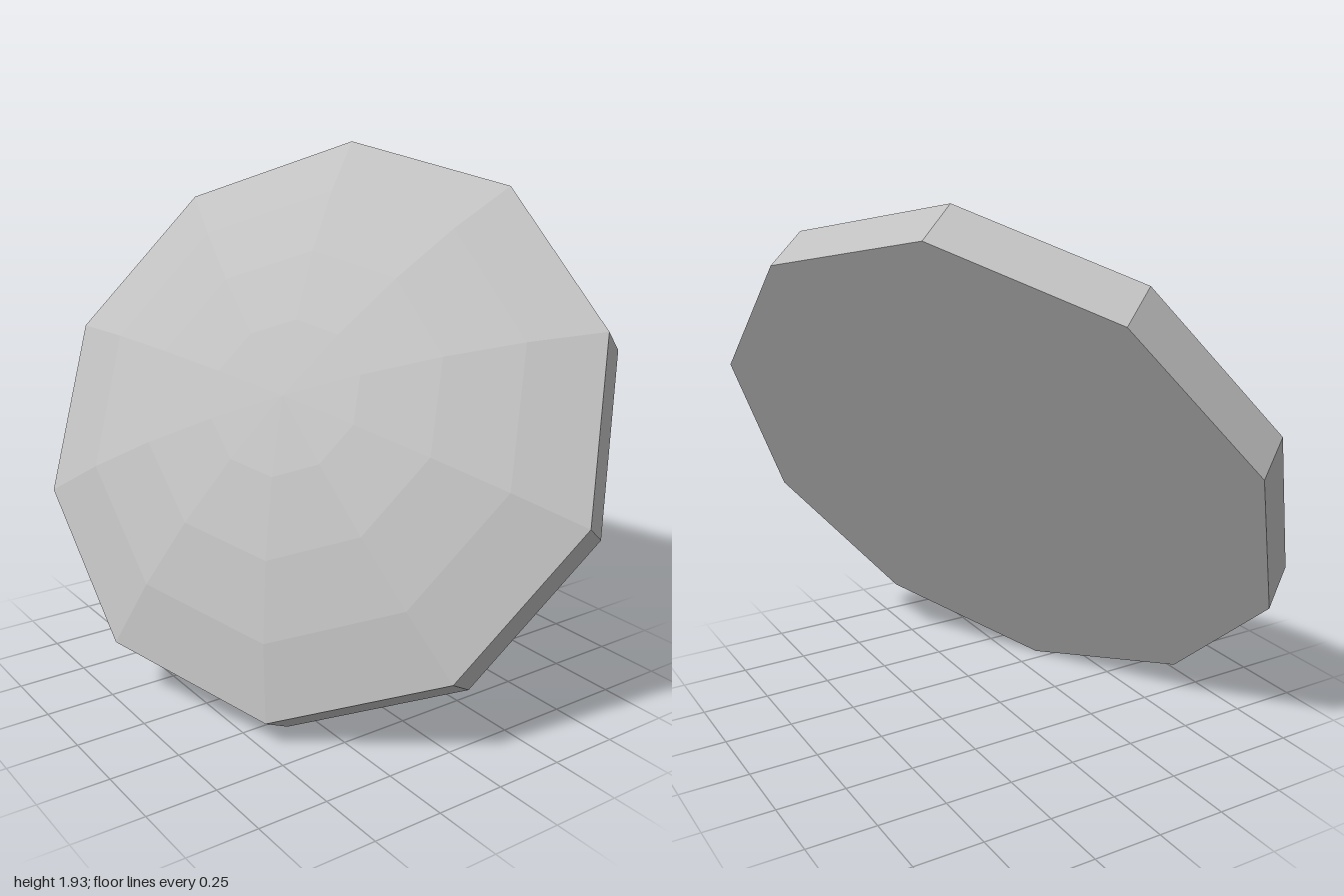
import * as THREE from 'three';

const SIDES = 10;
const RADIUS = 1.065;
const RIM = 0.187;   // height of the straight edge
const DOME = 0.258;  // rise of the dome above the edge

export function createModel() {
  const grey = new THREE.MeshStandardMaterial({ color: 0xc0c0c0, flatShading: true });
  grey.name = 'grey';

  const model = new THREE.Group();
  model.name = 'domedDisc';

  // Turns a profile of [radius, height] pairs around the disc's own axis
  const turn = (name, profile) => {
    const points = profile.map(([r, y]) => new THREE.Vector2(r, y));
    const geometry = new THREE.LatheGeometry(points, SIDES).toNonIndexed();
    geometry.computeVertexNormals();
    const mesh = new THREE.Mesh(geometry, grey);
    mesh.name = name;
    return mesh;
  };

  // Dome: shallow spherical cap in four equal angular steps
  const sphere = (RADIUS ** 2 + DOME ** 2) / (2 * DOME);
  const capAngle = Math.asin(RADIUS / sphere);
  const cap = [];
  for (let i = 4; i >= 0; i--) {
    const a = (capAngle * i) / 4;
    cap.push([sphere * Math.sin(a), RIM + DOME - sphere * (1 - Math.cos(a))]);
  }

  const disc = new THREE.Group();
  disc.name = 'disc';
  disc.add(
    turn('flatBase', [[0, 0], [RADIUS, 0]]),
    turn('rim', [[RADIUS, 0], [RADIUS, RIM]]),
    turn('dome', cap)
  );

  // Tilt: dome axis along local y, one rim corner along local z
  const axis = new THREE.Vector3(-0.748, 0.506, 0.43).normalize();
  const corner = new THREE.Vector3(0.675, 0.785, 0.25);
  corner.addScaledVector(axis, -corner.dot(axis)).normalize();
  const side = new THREE.Vector3().crossVectors(axis, corner);
  disc.quaternion.setFromRotationMatrix(new THREE.Matrix4().makeBasis(side, axis, corner));
  disc.position.set(0.07, 0.92, -0.04);

  model.add(disc);
  return model;
}
